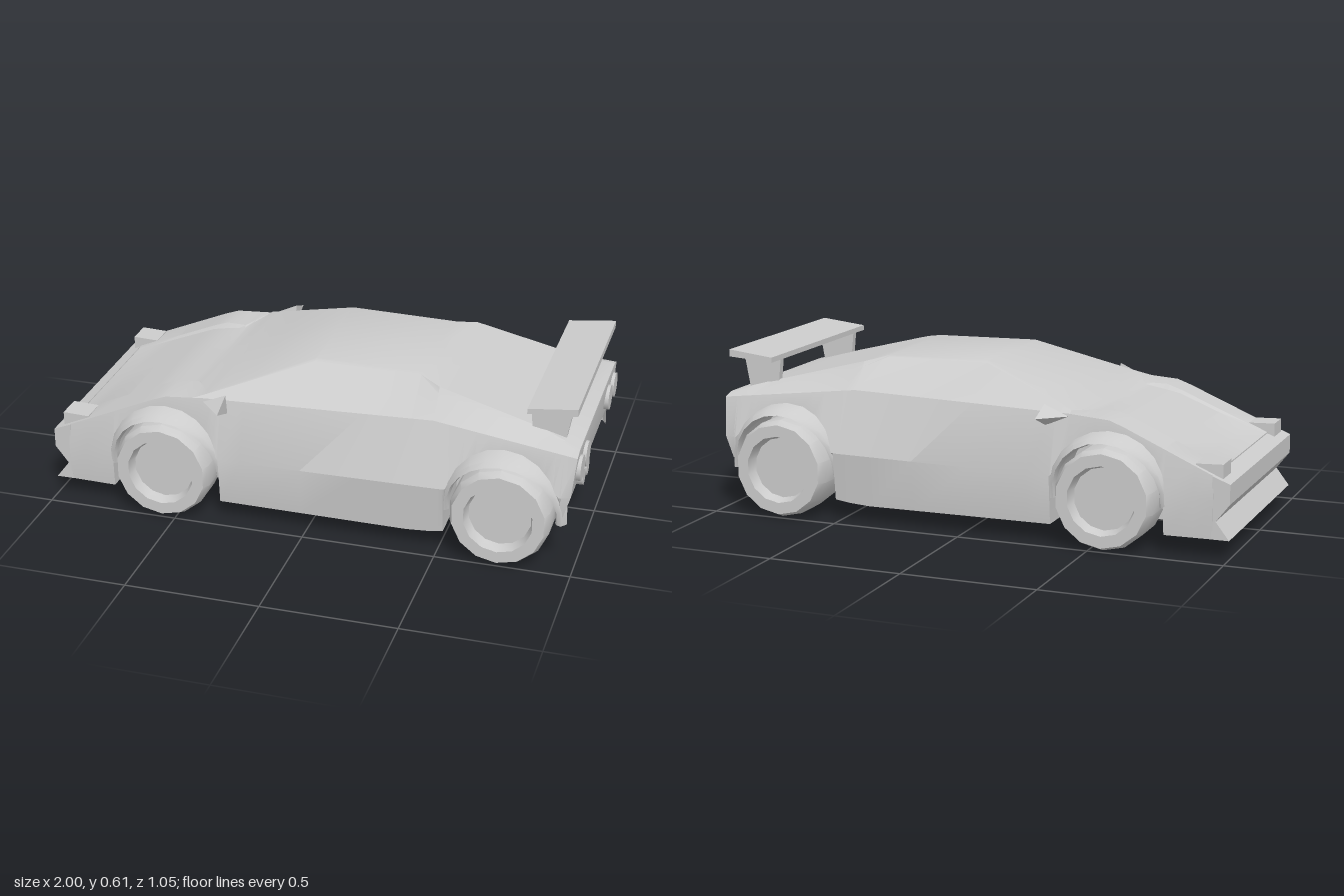
import * as THREE from 'three';
import { toCreasedNormals } from 'three/addons/utils/BufferGeometryUtils.js';

const WHEELS = [-0.55, 0.73];
const ARCH_Y = 0.19, ARCH_R = 0.212, INNER_Z = 0.235;

// linear interpolation through a list of [x, value, value...] keys
function at(keys, x) {
  if (x <= keys[0][0]) return keys[0].slice(1);
  for (let i = 1; i < keys.length; i++) {
    const a = keys[i - 1], b = keys[i];
    if (x <= b[0]) {
      const t = (x - a[0]) / (b[0] - a[0]);
      return a.slice(1).map((v, k) => v + (b[k + 1] - v) * t);
    }
  }
  return keys[keys.length - 1].slice(1);
}

// guide lines of the body: [x, y] or [x, y, z]
const FLOOR = [[-1, 0.07], [0.42, 0.065], [0.6, 0.09], [0.95, 0.2], [1, 0.205]];
const SILL = [[-1, 0.43], [-0.6, 0.44], [0.5, 0.445], [1, 0.44]];
const MID = [[-1, 0.2, 0.435], [-0.7, 0.24, 0.45], [-0.3, 0.25, 0.46], [0.5, 0.26, 0.465], [0.9, 0.28, 0.457], [0.99, 0.29, 0.45]];
const BELT = [[-1, 0.27, 0.43], [-0.56, 0.46, 0.415], [-0.4, 0.472, 0.41], [0.46, 0.49, 0.385], [0.99, 0.432, 0.42]];
const EDGE = [[-1, 0.275, 0.3], [-0.56, 0.465, 0.28], [-0.47, 0.468, 0.27], [-0.4, 0.482, 0.395], [-0.02, 0.605, 0.257],
  [0.38, 0.6, 0.25], [0.46, 0.565, 0.315], [0.85, 0.475, 0.34], [0.99, 0.443, 0.385]];
const TOP = [[-1, 0.275], [-0.87, 0.325], [-0.6, 0.437], [-0.47, 0.463], [-0.4, 0.484], [-0.02, 0.61], [0.38, 0.604],
  [0.5, 0.575], [0.85, 0.485], [0.99, 0.446]];

// closed cross-section of the body at x, both halves
function section(x, inArch, last) {
  const [floor] = at(FLOOR, x), [sillZ] = at(SILL, x), [top] = at(TOP, x);
  const [beltY, beltZ] = at(BELT, x), [edgeY, edgeZ] = at(EDGE, x);
  let [midY, midZ] = at(MID, x), low = floor;
  if (inArch !== null) {
    const d = x - inArch;
    low = Math.max(floor, ARCH_Y + Math.sqrt(Math.max(0, ARCH_R ** 2 - d * d)));
  }
  if (low + 0.01 > midY) {
    const t = (low + 0.01 - midY) / (beltY - midY);
    midZ += (beltZ - midZ) * t;
    midY = low + 0.01;
  }
  const half = [[floor, 0], [floor, INNER_Z], [low, INNER_Z], [low, Math.min(sillZ, midZ)],
    [midY, midZ], [beltY, beltZ], [edgeY, edgeZ], [top, edgeZ - 0.015], [top, 0]];
  const px = y => (last ? x - Math.max(0, 0.33 - y) * 0.3 : x);
  const left = half.map(([y, z]) => new THREE.Vector3(px(y), y, z));
  const right = half.slice(1, -1).reverse().map(([y, z]) => new THREE.Vector3(px(y), y, -z));
  return [...left, ...right];
}

function fromTriangles(tris, crease) {
  const kept = tris.filter(([a, b, c]) => new THREE.Triangle(a, b, c).getArea() > 1e-8);
  const g = new THREE.BufferGeometry().setFromPoints(kept.flat());
  g.computeVertexNormals();
  return toCreasedNormals(g, crease);
}

function bodyGeometry() {
  // stations, doubled at the arch ends to give vertical arch walls
  const stations = [-0.94, -0.87, -0.25, -0.02, 0.2, 0.38, 0.46, 0.5, 0.99].map(x => [x, null, 1]);
  for (const c of WHEELS) {
    for (let k = 0; k <= 12; k++) stations.push([c - ARCH_R * Math.cos(k * Math.PI / 12), c, 1]);
    stations.push([c - ARCH_R, null, 0], [c + ARCH_R, null, 2]);
  }
  stations.push([-0.47, WHEELS[0], 1], [-0.4, WHEELS[0], 1], [0.85, WHEELS[1], 1]);
  stations.sort((a, b) => (Math.abs(a[0] - b[0]) > 1e-6 ? a[0] - b[0] : a[2] - b[2]));
  const rings = stations.map(([x, c], i) => section(x, c, i === stations.length - 1));
  const n = rings[0].length, tris = [];
  for (let i = 0; i + 1 < rings.length; i++) {
    for (let j = 0; j < n; j++) {
      const k = (j + 1) % n, a = rings[i], b = rings[i + 1];
      tris.push([a[j], b[j], b[k]], [a[j], b[k], a[k]]);
    }
  }
  // nose and tail panels
  [rings[0], rings[rings.length - 1]].forEach((r, end) => {
    for (let j = 0; j < n / 2; j++) {
      const m = r[(n - j) % n], m2 = r[n - j - 1];
      const pair = [[m, r[j], r[j + 1]], [m, r[j + 1], m2]];
      pair.forEach(t => tris.push(end ? t.reverse() : t));
    }
  });
  return fromTriangles(tris, 0.4);
}

// prism from an x-y outline, centred on z
function prism(points, width) {
  const g = new THREE.ExtrudeGeometry(new THREE.Shape(points.map(p => new THREE.Vector2(...p))), { depth: width, bevelEnabled: false });
  return g.translate(0, 0, -width / 2);
}

// lip over one wheel, standing out most at the crown
function flareGeometry() {
  const rows = [[0.236, 0.415, 0], [0.218, 0.445, 0.03], [0.203, 0.445, 0.05], [0.196, 0.43, 0.02]], steps = 12, tris = [];
  const p = (i, k) => {
    const a = -0.12 + (Math.PI + 0.24) * k / steps, [r, z, out] = rows[i];
    return new THREE.Vector3(r * Math.cos(a), ARCH_Y + r * Math.sin(a), z + out * Math.sin(a));
  };
  for (let i = 0; i + 1 < rows.length; i++) {
    for (let k = 0; k < steps; k++) {
      tris.push([p(i, k), p(i + 1, k), p(i + 1, k + 1)], [p(i, k), p(i + 1, k + 1), p(i, k + 1)]);
    }
  }
  return fromTriangles(tris, 0.5);
}

function wheelGeometry() {
  const profile = [[0, 0.31], [0.175, 0.31], [0.186, 0.32], [0.186, 0.47], [0.172, 0.503], [0.128, 0.503], [0.116, 0.46], [0, 0.46]];
  const g = new THREE.LatheGeometry(profile.map(p => new THREE.Vector2(...p)), 14);
  return toCreasedNormals(g.rotateX(Math.PI / 2), 0.55);
}

function mirrorGeometry(s) {
  const [a, b, c, d] = [[-0.4, 0.465, 0.425], [-0.31, 0.505, 0.43], [-0.31, 0.425, 0.415], [-0.31, 0.468, 0.525]]
    .map(([x, y, z]) => new THREE.Vector3(x, y, s * z));
  return fromTriangles([[a, b, d], [a, d, c], [a, c, b], [b, c, d]], 0.1);
}

export function createModel() {
  const car = new THREE.Group();
  car.name = 'sportsCar';
  const grey = new THREE.MeshStandardMaterial({ color: 0xcccccc });
  const thin = new THREE.MeshStandardMaterial({ color: 0xcccccc, side: THREE.DoubleSide });
  const add = (name, geometry, x = 0, y = 0, z = 0, material = grey) => {
    const mesh = new THREE.Mesh(geometry, material);
    mesh.name = name;
    mesh.position.set(x, y, z);
    car.add(mesh);
    return mesh;
  };

  add('body', bodyGeometry());
  add('noseAndLip', prism([[-0.935, 0.298], [-1, 0.272], [-1, 0.2], [-0.95, 0.135], [-1, 0.07], [-0.935, 0.07]], 0.866));

  // rear wing
  add('wingBlade', prism([[0.8, 0.572], [0.98, 0.585], [0.98, 0.612], [0.8, 0.592]], 0.8));
  const post = prism([[0.81, 0.47], [0.93, 0.45], [0.955, 0.585], [0.8, 0.575]], 0.026);

  const wheel = wheelGeometry(), flare = flareGeometry();
  const lamp = new THREE.CylinderGeometry(0.048, 0.048, 0.05, 14).rotateZ(Math.PI / 2);
  const pipe = new THREE.CylinderGeometry(0.032, 0.032, 0.12, 10).rotateZ(Math.PI / 2);
  const headlight = prism([[-0.968, 0.27], [-0.868, 0.31], [-0.868, 0.332], [-0.968, 0.336]], 0.1);

  for (const s of [1, -1]) {
    const side = s > 0 ? 'left' : 'right';
    const turn = s > 0 ? 0 : Math.PI;
    WHEELS.forEach((x, i) => {
      const end = i ? 'Rear' : 'Front';
      add(side + end + 'Wheel', wheel, x, 0.186, 0).rotation.y = turn;
      add(side + end + 'Flare', flare, x, 0, 0, thin).rotation.y = turn;
    });
    add(side + 'WingPost', post, 0, 0, s * 0.315);
    add(side + 'Headlight', headlight, 0, 0, s * 0.36);
    add(side + 'Mirror', mirrorGeometry(s), 0, 0, 0, thin);
    for (const z of [0.24, 0.355]) add(side + 'TailLamp', lamp, 0.975, 0.365, s * z);
    add(side + 'Exhaust', pipe, 0.9, 0.162, s * 0.04);
  }
  return car;
}
